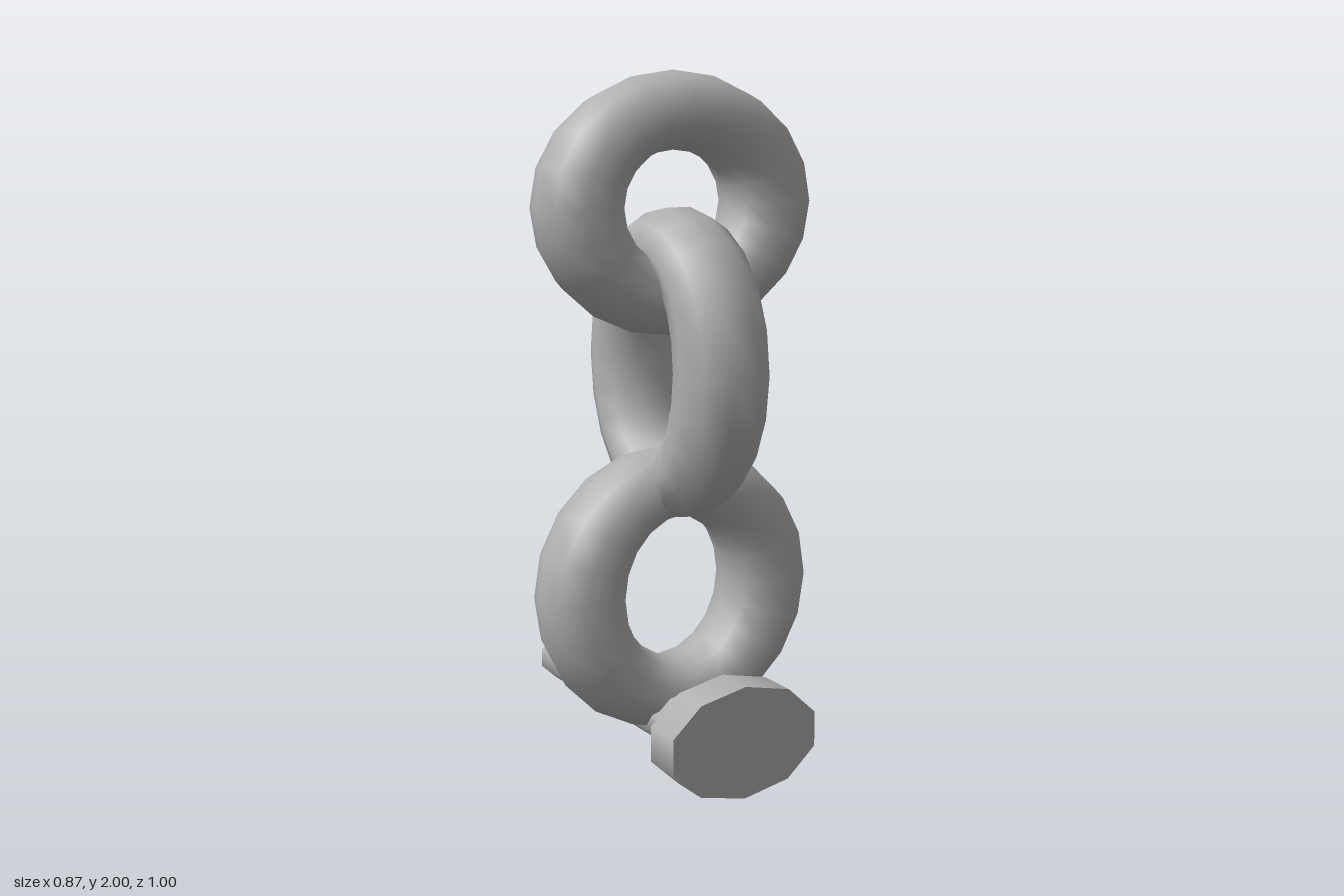
import * as THREE from 'three';
import { mergeVertices } from 'three/addons/utils/BufferGeometryUtils.js';

const steel = new THREE.MeshStandardMaterial({ color: 0xb0b0b0 });
steel.name = 'steel grey';

const SIDES = 10;
const SEGMENTS = 20;

// Link spanning two ellipses, each given as { x, w, h }: centre offset, half width, half height.
// turn rotates the ten-sided section so that a flat, not a corner, points outward.
function linkGeometry(outer, inner, depth, turn) {
  const geometry = new THREE.TorusGeometry(1, 0.3, SIDES, SEGMENTS);
  const position = geometry.attributes.position;
  const reach = turn ? Math.cos(Math.PI / SIDES) : 1;
  const lerp = THREE.MathUtils.lerp;
  for (let j = 0, k = 0; j <= SIDES; j++) {
    const v = ((j % SIDES) / SIDES) * Math.PI * 2 + turn;
    const t = (Math.cos(v) / reach + 1) / 2;
    for (let i = 0; i <= SEGMENTS; i++, k++) {
      const u = ((i % SEGMENTS) / SEGMENTS) * Math.PI * 2;
      position.setXYZ(
        k,
        lerp(inner.x, outer.x, t) + lerp(inner.w, outer.w, t) * Math.cos(u),
        lerp(inner.h, outer.h, t) * Math.sin(u),
        depth * Math.sin(v)
      );
    }
  }
  // Close the seams so the normals are smooth all round
  geometry.deleteAttribute('uv');
  geometry.deleteAttribute('normal');
  const smooth = mergeVertices(geometry, 1e-4);
  smooth.computeVertexNormals();
  return smooth;
}

// Flattened ten-sided bar lying along z
function barGeometry(rx, ry, zBack, zFront) {
  const geometry = new THREE.CylinderGeometry(1, 1, zFront - zBack, SIDES);
  geometry.rotateX(Math.PI / 2);
  geometry.rotateZ(Math.PI);
  geometry.scale(rx, ry, 1);
  geometry.translate(0, 0, (zBack + zFront) / 2);
  return geometry;
}

export function createModel() {
  const model = new THREE.Group();
  model.name = 'chainAndBolt';

  const add = (name, geometry, y, z = 0) => {
    const mesh = new THREE.Mesh(geometry, steel);
    mesh.name = name;
    mesh.position.set(0, y, z);
    model.add(mesh);
    return mesh;
  };

  // Chain links
  add('topLink', linkGeometry(
    { x: 0, w: 0.435, h: 0.3725 }, { x: 0, w: 0.175, h: 0.152 }, 0.134, 0), 1.6275, 0.0975);

  const middle = add('middleLink', linkGeometry(
    { x: 0.027, w: 0.3675, h: 0.4425 }, { x: 0, w: 0.13, h: 0.24 }, 0.13, Math.PI / SIDES), 1.178, 0.0975);
  middle.rotation.y = -Math.PI / 2;

  add('bottomLink', linkGeometry(
    { x: 0, w: 0.435, h: 0.425 }, { x: 0, w: 0.175, h: 0.21 }, 0.134, 0), 0.52, 0.0975);

  // Bolt through the bottom link
  add('boltShaft', barGeometry(0.137, 0.09, -0.5, 0.39), 0.15);
  add('boltHead', barGeometry(0.244, 0.163, 0.377, 0.5), 0.163);

  return model;
}
